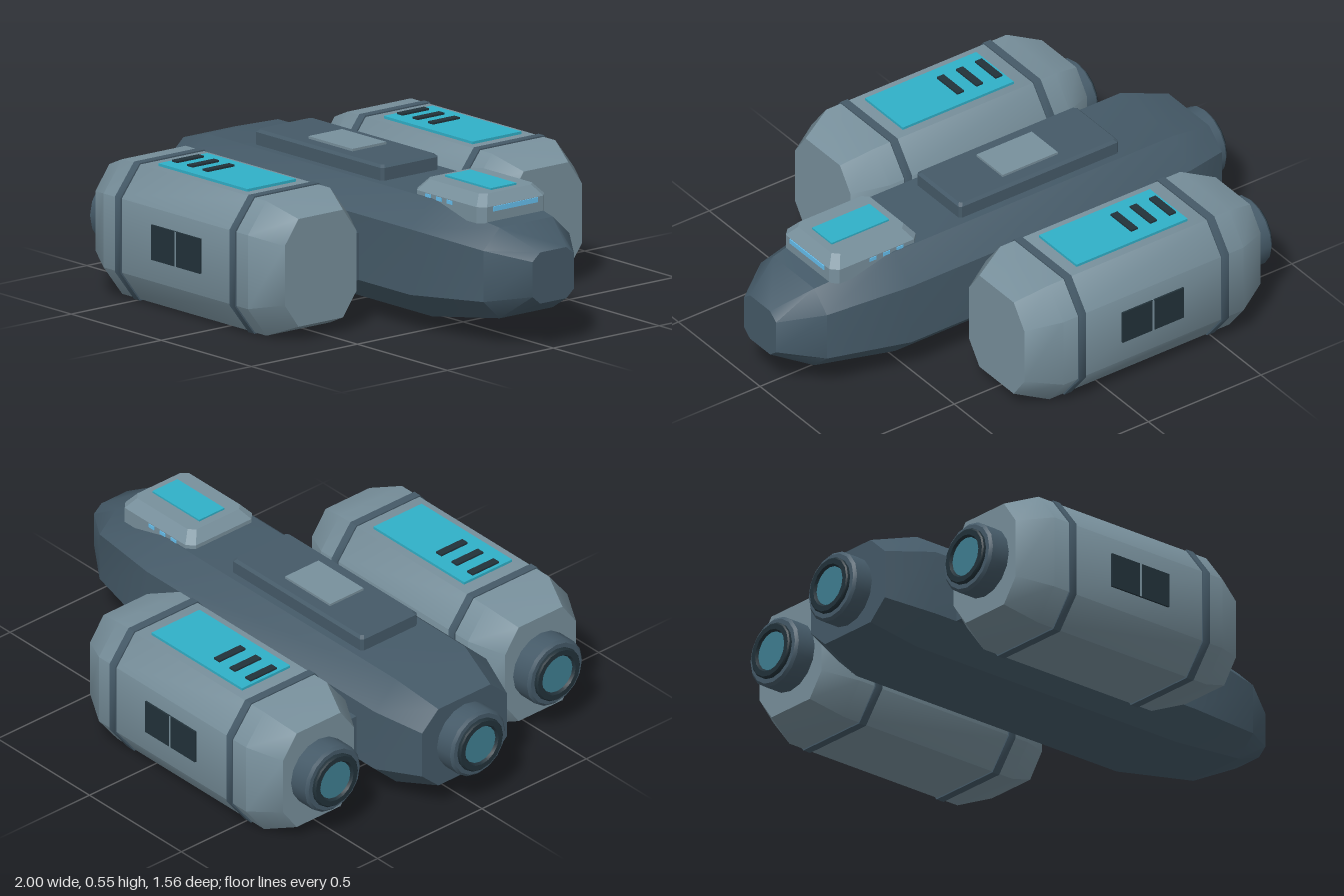
import * as THREE from 'three';
import { toCreasedNormals } from 'three/addons/utils/BufferGeometryUtils.js';

const mat = (color) => new THREE.MeshStandardMaterial({ color });
const M = {
  hull: mat(0x455a68), pod: mat(0x78909c), dark: mat(0x22323a),
  teal: mat(0x30b0c8), core: mat(0x3f7f92), light: mat(0x66bfee),
};

// Loft of chamfered-rectangle sections along x: [x, halfY, halfZ, flatY, flatZ]
function loft(sections, crease = 0.7) {
  const pos = [], idx = [];
  for (const [x, hy, hz, fy, fz] of sections) {
    for (const [y, z] of [[-fy, -hz], [fy, -hz], [hy, -fz], [hy, fz],
      [fy, hz], [-fy, hz], [-hy, fz], [-hy, -fz]]) pos.push(x, y, z);
  }
  const n = sections.length;
  for (let i = 0; i < n - 1; i++) {
    for (let j = 0; j < 8; j++) {
      const a = i * 8 + j, b = i * 8 + (j + 1) % 8;
      idx.push(a, b, a + 8, b, b + 8, a + 8);
    }
  }
  const e = (n - 1) * 8;
  for (let j = 1; j < 7; j++) idx.push(0, j + 1, j, e, e + j, e + j + 1);
  const g = new THREE.BufferGeometry();
  g.setAttribute('position', new THREE.Float32BufferAttribute(pos, 3));
  g.setIndex(idx);
  return toCreasedNormals(g.toNonIndexed(), crease);
}

function add(parent, name, geo, material, x = 0, y = 0, z = 0) {
  const m = new THREE.Mesh(geo, material);
  m.name = name;
  m.position.set(x, y, z);
  parent.add(m);
  return m;
}

// Box given by its min and max along each axis
function box(parent, name, material, [x0, x1], [y0, y1], [z0, z1]) {
  return add(parent, name, new THREE.BoxGeometry(x1 - x0, y1 - y0, z1 - z0), material,
    (x0 + x1) / 2, (y0 + y1) / 2, (z0 + z1) / 2);
}

// Engine nozzle pointing to -x, mounted at x
function engine(parent, x, y, z) {
  const g = new THREE.Group();
  g.name = 'engine';
  g.position.set(x, y, z);
  g.rotation.z = Math.PI / 2;
  parent.add(g);
  const lathe = (pts) => toCreasedNormals(new THREE.LatheGeometry(
    pts.map(([r, h]) => new THREE.Vector2(r, h)), 16).toNonIndexed(), 0.6);
  add(g, 'engineCollar', lathe([[0.132, -0.02], [0.132, 0.075], [0.122, 0.085], [0.095, 0.085]]), M.hull);
  add(g, 'engineRing', lathe([[0.105, 0.08], [0.105, 0.095], [0.1, 0.1], [0.08, 0.1], [0.072, 0.085], [0.072, 0.07]]), M.dark);
  const rim = add(g, 'engineRim', new THREE.TorusGeometry(0.092, 0.006, 6, 24), M.pod, 0, 0.094, 0);
  rim.rotation.x = Math.PI / 2;
  add(g, 'engineCore', new THREE.CylinderGeometry(0.073, 0.073, 0.03, 16), M.core, 0, 0.075, 0);
}

// Cargo pod on one side; s = +1 or -1 along z
function pod(root, s) {
  const g = new THREE.Group();
  g.name = s > 0 ? 'frontPod' : 'backPod';
  g.position.set(0, 0.255, s * 0.532);
  root.add(g);
  add(g, 'podBody', loft([
    [-0.715, 0.2, 0.17, 0.11, 0.105], [-0.59, 0.25, 0.238, 0.137, 0.15],
    [0.21, 0.25, 0.238, 0.137, 0.15], [0.335, 0.2, 0.17, 0.11, 0.105]]), M.pod);
  for (const x of [-0.505, 0.13]) {
    add(g, 'podBand', loft([[-0.016, 0.255, 0.243, 0.14, 0.153], [0.016, 0.255, 0.243, 0.14, 0.153]]), M.hull, x);
  }
  box(g, 'topPanel', M.teal, [-0.43, 0.063], [0.24, 0.26], [-0.115, 0.115]);
  for (const x of [-0.402, -0.317, -0.232]) {
    box(g, 'topSlit', M.dark, [x - 0.015, x + 0.015], [0.25, 0.267], [-0.063, 0.063]);
  }
  // Hatch on the outer side, with a centre seam
  const side = (a, b) => (s > 0 ? [a, b] : [-b, -a]);
  box(g, 'sideHatch', M.dark, [-0.32, -0.048], [-0.055, 0.075], side(0.23, 0.245));
  box(g, 'hatchSeam', M.pod, [-0.187, -0.181], [-0.055, 0.075], side(0.235, 0.247));
  engine(g, -0.715, 0, 0);
  // Strut joining pod and hull
  box(root, 'podStrut', M.hull, [-0.62, 0.235], [0.148, 0.325], s > 0 ? [0.2, 0.34] : [-0.34, -0.2]);
}

export function createModel() {
  const root = new THREE.Group();
  root.name = 'cargoShip';

  add(root, 'hull', loft([
    [-0.905, 0.163, 0.203, 0.092, 0.125], [-0.72, 0.218, 0.267, 0.122, 0.165],
    [0.52, 0.218, 0.267, 0.122, 0.165], [0.85, 0.168, 0.203, 0.095, 0.125],
    [1, 0.095, 0.098, 0.065, 0.062]]), M.hull, 0, 0.27, 0);
  engine(root, -0.9, 0.27, 0);

  // Raised deck with bevelled rim and hatch
  const deck = loft([[0, 0.355, 0.135, 0.345, 0.125], [0.055, 0.355, 0.135, 0.345, 0.125],
    [0.065, 0.345, 0.125, 0.335, 0.115]], 0.3).rotateZ(Math.PI / 2);
  deck.computeVertexNormals();
  add(root, 'deckPlatform', deck, M.hull, -0.145, 0.48, 0);
  box(root, 'deckHatch', M.pod, [-0.265, -0.02], [0.53, 0.554], [-0.08, 0.08]);

  // Bridge cabin near the nose
  const cabin = loft([[0, 0.192, 0.16, 0.165, 0.133], [0.06, 0.192, 0.16, 0.165, 0.133],
    [0.1, 0.16, 0.125, 0.137, 0.102]], 0.3).rotateZ(Math.PI / 2);
  add(root, 'bridge', cabin, M.pod, 0.597, 0.443, 0);
  box(root, 'bridgeRoofPanel', M.teal, [0.47, 0.725], [0.53, 0.55], [-0.06, 0.06]);
  box(root, 'bridgeWindow', M.light, [0.77, 0.793], [0.484, 0.502], [-0.105, 0.105]);
  for (const s of [1, -1]) {
    for (const x of [0.495, 0.555, 0.615]) {
      add(root, 'sideWindow', new THREE.BoxGeometry(0.03, 0.014, 0.02), M.light, x, 0.493, s * 0.153);
    }
    pod(root, s);
  }
  return root;
}
